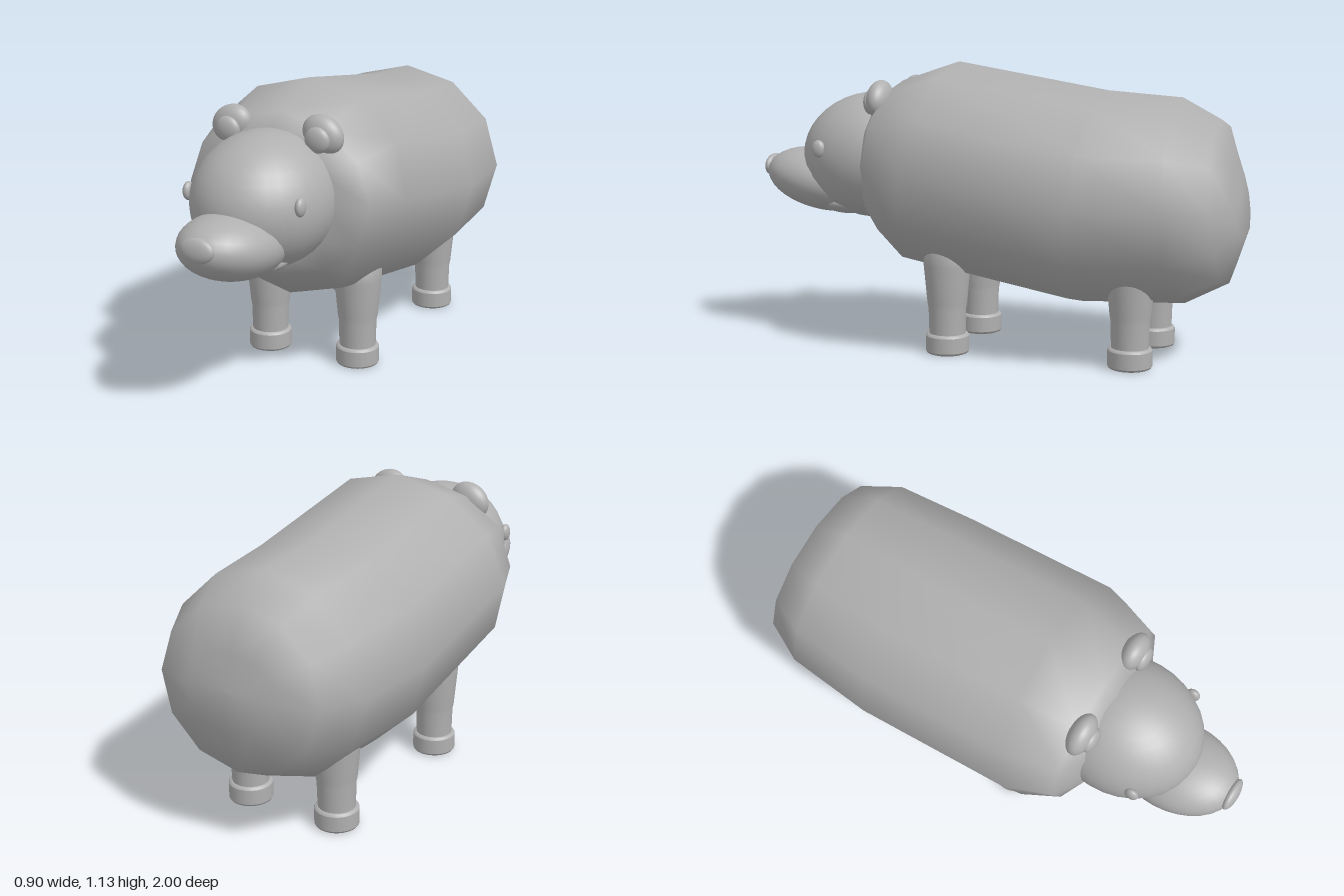
import * as THREE from 'three';

const grey = new THREE.MeshStandardMaterial({ color: 0xb0b0b0 });
grey.name = 'plain grey';

function addMesh(parent, name, geometry) {
  const mesh = new THREE.Mesh(geometry, grey);
  mesh.name = name;
  parent.add(mesh);
  return mesh;
}

function ellipsoid(parent, name, position, radii, tilt = [0, 0, 0]) {
  const mesh = addMesh(parent, name, new THREE.SphereGeometry(1, 32, 20));
  mesh.position.set(...position);
  mesh.scale.set(...radii);
  mesh.rotation.set(...tilt);
  return mesh;
}

// Lofted barrel: each ring is [half width, top z, top y, bottom z, bottom y], back to front
function bodyGeometry() {
  const rings = [
    [0, -0.98, 0.63, -0.98, 0.63],
    [0.19, -0.95, 0.77, -1.0, 0.49],
    [0.34, -0.9, 0.93, -0.94, 0.31],
    [0.42, -0.75, 1.01, -0.77, 0.22],
    [0.45, -0.46, 1.03, -0.36, 0.2],
    [0.445, 0.15, 1.13, 0.32, 0.32],
    [0.38, 0.39, 1.05, 0.43, 0.43],
    [0.25, 0.465, 0.98, 0.48, 0.48],
    [0, 0.47, 0.74, 0.47, 0.74],
  ];
  const sides = 12, positions = [], index = [];
  rings.forEach(([w, zt, yt, zb, yb], i) => {
    for (let j = 0; j < sides; j++) {
      const a = (j / sides) * Math.PI * 2;
      const t = (1 - Math.cos(a)) / 2;
      positions.push(w * Math.sin(a), yt + (yb - yt) * t, zt + (zb - zt) * t);
      if (i === rings.length - 1) continue;
      const k = (j + 1) % sides;
      const p = i * sides + j, q = p + sides, r = i * sides + k, s = r + sides;
      if (i > 0) index.push(p, q, r);
      else index.push(p, q, s);
      if (i > 0 && i < rings.length - 2) index.push(r, q, s);
    }
  });
  const geometry = new THREE.BufferGeometry();
  geometry.setAttribute('position', new THREE.Float32BufferAttribute(positions, 3));
  geometry.setIndex(index);
  geometry.computeVertexNormals();
  return geometry;
}

const lathe = (points) =>
  new THREE.LatheGeometry(points.map(([r, y]) => new THREE.Vector2(r, y)), 28);

// Tapered leg sunk into the belly, with a soft-edged foot
function addLeg(parent, name, x, z, height) {
  const leg = new THREE.Group();
  leg.name = name;
  leg.position.set(x, 0, z);
  addMesh(leg, 'legShaft', lathe([[0.071, 0.06], [0.074, 0.18], [0.078, 0.2], [0.092, 0.35], [0.097, height], [0, height]]));
  addMesh(leg, 'foot', lathe([
    [0, 0], [0.074, 0], [0.074, 0], [0.081, 0.003], [0.085, 0.01], [0.085, 0.01],
    [0.085, 0.07], [0.085, 0.07], [0.081, 0.077], [0.074, 0.08], [0.074, 0.08], [0, 0.08],
  ]));
  parent.add(leg);
}

export function createModel() {
  const model = new THREE.Group();
  model.name = 'animal';
  addMesh(model, 'body', bodyGeometry());

  // Head, muzzle and nose
  const head = new THREE.Group();
  head.name = 'headGroup';
  model.add(head);
  ellipsoid(head, 'head', [0, 0.748, 0.5], [0.267, 0.255, 0.31]);
  ellipsoid(head, 'muzzle', [0, 0.638, 0.74], [0.18, 0.125, 0.25], [-0.18, 0, 0]);
  ellipsoid(head, 'lowerJaw', [0, 0.555, 0.61], [0.145, 0.052, 0.14]);
  ellipsoid(head, 'nose', [0, 0.688, 0.976], [0.068, 0.046, 0.024], [-0.1, 0, 0]);

  for (const side of [-1, 1]) {
    const label = side > 0 ? 'left' : 'right';
    // Eye and two-part ear
    ellipsoid(head, label + 'Eye', [side * 0.23, 0.787, 0.66], [0.018, 0.035, 0.028]);
    ellipsoid(head, label + 'Ear', [side * 0.19, 0.988, 0.41], [0.084, 0.07, 0.048], [0, 0, side * -0.5]);
    ellipsoid(head, label + 'InnerEar', [side * 0.186, 0.975, 0.45], [0.05, 0.049, 0.025]);
    // Legs
    addLeg(model, label + 'FrontLeg', side * 0.196, 0.13, 0.5);
    addLeg(model, label + 'BackLeg', side * 0.196, -0.605, 0.42);
  }
  return model;
}
